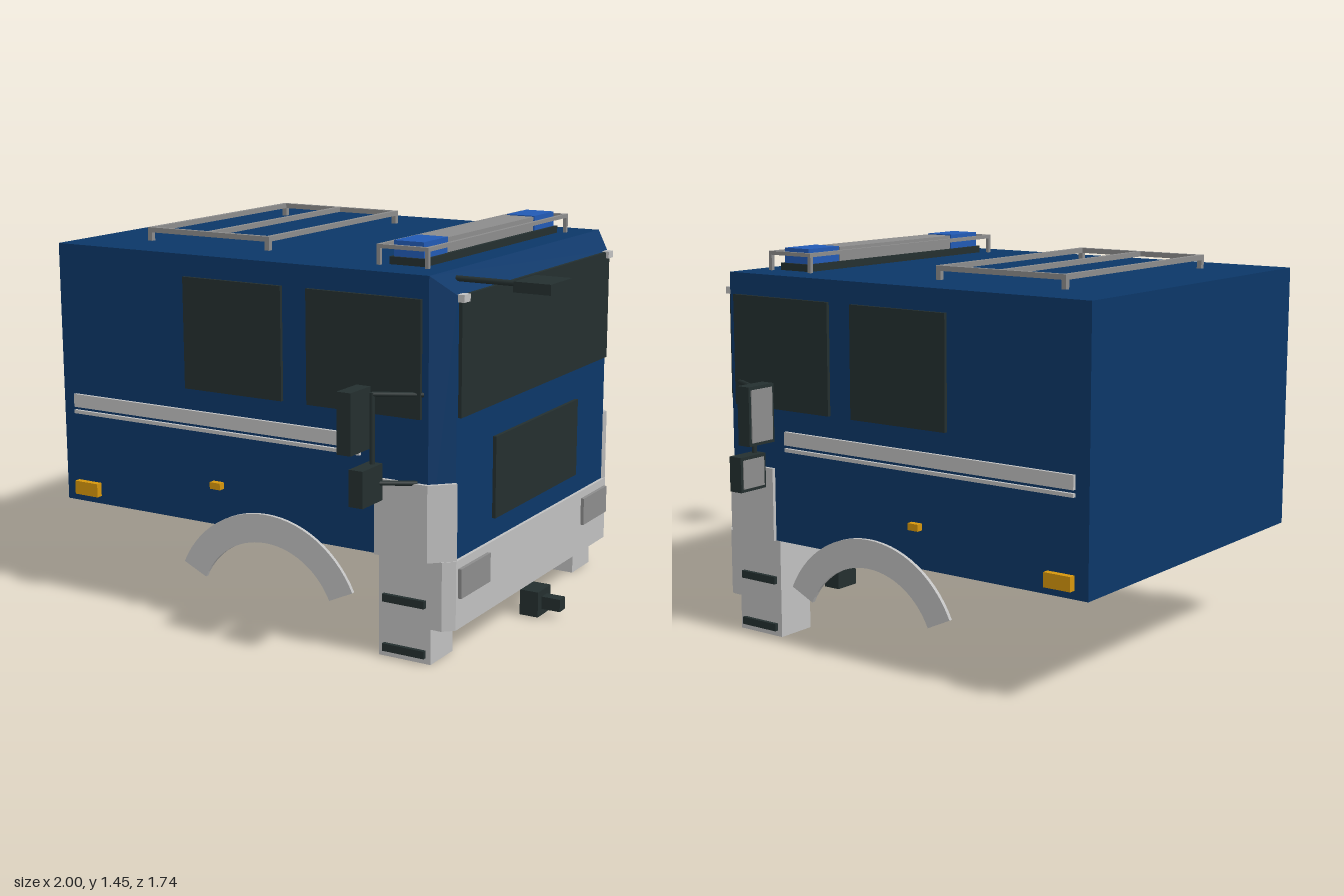
import * as THREE from 'three';
import { ConvexGeometry } from 'three/addons/geometries/ConvexGeometry.js';

const mat = (name, color) => {
  const m = new THREE.MeshStandardMaterial({ color });
  m.name = name;
  return m;
};

export function createModel() {
  const root = new THREE.Group();
  root.name = 'truckCab';

  const navy = mat('navyPaint', 0x0b3768);
  const pale = mat('paleGrey', 0xc0c0c0);
  const grey = mat('midGrey', 0x8c8c8c);
  const dark = mat('darkTrim', 0x242f2f);
  const amber = mat('amberLens', 0xd6960c);
  const blue = mat('blueLens', 0x225ab4);

  const add = (name, geometry, material, parent = root) => {
    const mesh = new THREE.Mesh(geometry, material);
    mesh.name = name;
    parent.add(mesh);
    return mesh;
  };
  // Box given by its limits on each axis
  const box = (name, m, x0, x1, y0, y1, z0, z1, parent) => {
    const mesh = add(name, new THREE.BoxGeometry(x1 - x0, y1 - y0, z1 - z0), m, parent);
    mesh.position.set((x0 + x1) / 2, (y0 + y1) / 2, (z0 + z1) / 2);
    return mesh;
  };
  // Same box on both sides of the cab
  const pair = (name, m, x0, x1, y0, y1, z0, z1) => {
    box(name, m, x0, x1, y0, y1, z0, z1);
    box(name, m, x0, x1, y0, y1, -z1, -z0);
  };
  // Round bar between two points
  const rod = (name, m, a, b, r, parent) => {
    const p = new THREE.Vector3(...a), q = new THREE.Vector3(...b);
    const mesh = add(name, new THREE.CylinderGeometry(r, r, p.distanceTo(q), 8), m, parent);
    mesh.position.copy(p).lerp(q, 0.5);
    mesh.quaternion.setFromUnitVectors(new THREE.Vector3(0, 1, 0), q.sub(p).normalize());
    return mesh;
  };
  // Plan outline given as [x, z], raised from y0 to y1
  const plan = (name, m, points, y0, y1) => {
    const shape = new THREE.Shape(points.map(([x, z]) => new THREE.Vector2(x, -z)));
    const g = new THREE.ExtrudeGeometry(shape, { depth: y1 - y0, bevelEnabled: false });
    g.rotateX(-Math.PI / 2).translate(0, y0, 0);
    return add(name, g, m);
  };

  // Cab shell with bevelled front edges
  const corners = [];
  for (const s of [-1, 1]) {
    for (const [x, y, z] of [[-1, 0.38, 0.69], [-1, 1.37, 0.69], [0.585, 0.38, 0.69],
      [0.585, 1.37, 0.69], [0.655, 0.38, 0.62], [0.655, 1.3, 0.62]]) {
      corners.push(new THREE.Vector3(x, y, z * s));
    }
  }
  add('cabShell', new ConvexGeometry(corners), navy);

  // Glazing and front panel
  box('windscreen', dark, 0.65, 0.668, 0.88, 1.3, -0.61, 0.61);
  box('frontGrille', dark, 0.65, 0.668, 0.46, 0.76, -0.345, 0.345);
  pair('rearSideWindow', dark, -0.42, 0, 0.88, 1.29, 0.685, 0.703);
  pair('frontSideWindow', dark, 0.105, 0.56, 0.88, 1.29, 0.685, 0.703);
  pair('cornerMarker', pale, 0.65, 0.68, 1.277, 1.303, 0.575, 0.618);

  // Side trim and marker lamps
  pair('wideTrimStrip', pale, -0.945, 0.32, 0.75, 0.8, 0.685, 0.703);
  pair('narrowTrimStrip', pale, -0.945, 0.32, 0.725, 0.738, 0.685, 0.703);
  pair('rearMarkerLamp', amber, -0.945, -0.838, 0.41, 0.462, 0.685, 0.715);
  pair('sideMarkerLamp', amber, -0.31, -0.265, 0.52, 0.545, 0.685, 0.715);

  // Bumper and its lamps
  plan('bumper', pale, [[0.585, 0.67], [0.63, 0.67], [0.667, 0.635], [0.667, -0.635],
    [0.63, -0.67], [0.585, -0.67]], 0.13, 0.38);
  pair('headlamp', grey, 0.66, 0.68, 0.243, 0.35, 0.4, 0.62);

  // Wheel arches
  const a0 = THREE.MathUtils.degToRad(25);
  const arch = new THREE.Shape();
  arch.absarc(0, 0, 0.403, a0, Math.PI - a0, false);
  arch.absarc(0, 0, 0.297, Math.PI - a0, a0, true);

  for (const s of [-1, 1]) {
    const archGeo = new THREE.ExtrudeGeometry(arch, { depth: 0.014, bevelEnabled: false, curveSegments: 14 });
    add('wheelArch', archGeo, pale).position.set(-0.075, 0.05, s > 0 ? 0.69 : -0.704);

    // Corner panel wrapped around the front edge
    plan('cornerPanel', pale, [[0.38, 0.685], [0.38, 0.704], [0.59, 0.704], [0.667, 0.63],
      [0.65, 0.615], [0.58, 0.685]].map(([x, z]) => [x, z * s]), 0.38, 0.655);

    // Entry steps
    box('stepHousing', pale, 0.38, 0.588, 0, 0.38, Math.min(0.51 * s, 0.67 * s), Math.max(0.51 * s, 0.67 * s));
    for (const y of [0.022, 0.205]) {
      box('stepTread', dark, 0.4, 0.568, y, y + 0.028, Math.min(0.665 * s, 0.685 * s), Math.max(0.665 * s, 0.685 * s));
    }

    // Side mirrors on a bracket
    const mirrors = new THREE.Group();
    mirrors.name = 'sideMirrors';
    root.add(mirrors);
    for (const [x, y0, y1] of [[0.333, 0.768, 0.985], [0.38, 0.592, 0.722]]) {
      box('mirrorHousing', dark, x, x + 0.055, y0, y1, s * 0.805 - 0.065, s * 0.805 + 0.065, mirrors);
      box('mirrorGlass', grey, x - 0.004, x + 0.004, y0 + 0.012, y1 - 0.012,
        s * 0.805 - 0.054, s * 0.805 + 0.054, mirrors);
    }
    rod('mirrorPost', dark, [0.41, 0.65, s * 0.765], [0.41, 0.97, s * 0.765], 0.009, mirrors);
    rod('upperMirrorArm', dark, [0.41, 0.965, s * 0.765], [0.565, 0.965, s * 0.685], 0.009, mirrors);
    rod('lowerMirrorArm', dark, [0.41, 0.655, s * 0.765], [0.545, 0.655, s * 0.69], 0.009, mirrors);
  }

  // Forward kerb mirror
  rod('kerbMirrorArm', dark, [0.61, 1.345, 0.545], [0.88, 1.345, 0.545], 0.01);
  box('kerbMirror', dark, 0.865, 1, 1.33, 1.366, 0.468, 0.632);

  // Front coupling
  box('couplingBlock', dark, 0.63, 0.705, 0.005, 0.103, -0.055, 0.055);
  box('couplingPin', dark, 0.7, 0.78, 0.03, 0.078, -0.023, 0.023);

  // Roof light bar
  box('lightBarBase', dark, 0.338, 0.48, 1.365, 1.397, -0.528, 0.528);
  box('lightBarCentre', grey, 0.35, 0.465, 1.395, 1.45, -0.342, 0.342);
  pair('beacon', blue, 0.35, 0.468, 1.395, 1.453, 0.347, 0.518);

  // Rectangular roof rail made of square bars on legs
  const rail = (name, x0, x1, z, top, t, cross) => {
    const g = new THREE.Group();
    g.name = name;
    root.add(g);
    for (const s of [-1, 1]) {
      const zc = s * (z - t / 2);
      box('railBar', grey, x0, x1, top - t, top, zc - t / 2, zc + t / 2, g);
      for (const x of [x0, x1 - t]) box('railLeg', grey, x, x + t, 1.365, top - t, zc - t / 2, zc + t / 2, g);
    }
    for (const x of [x0, x1 - t, ...cross]) box('railCrossBar', grey, x, x + t, top - t, top, -z + t, z - t, g);
  };
  rail('lightBarGuard', 0.305, 0.51, 0.56, 1.442, 0.014, []);
  rail('roofRack', -0.753, -0.203, 0.467, 1.421, 0.019, [-0.488]);

  return root;
}
